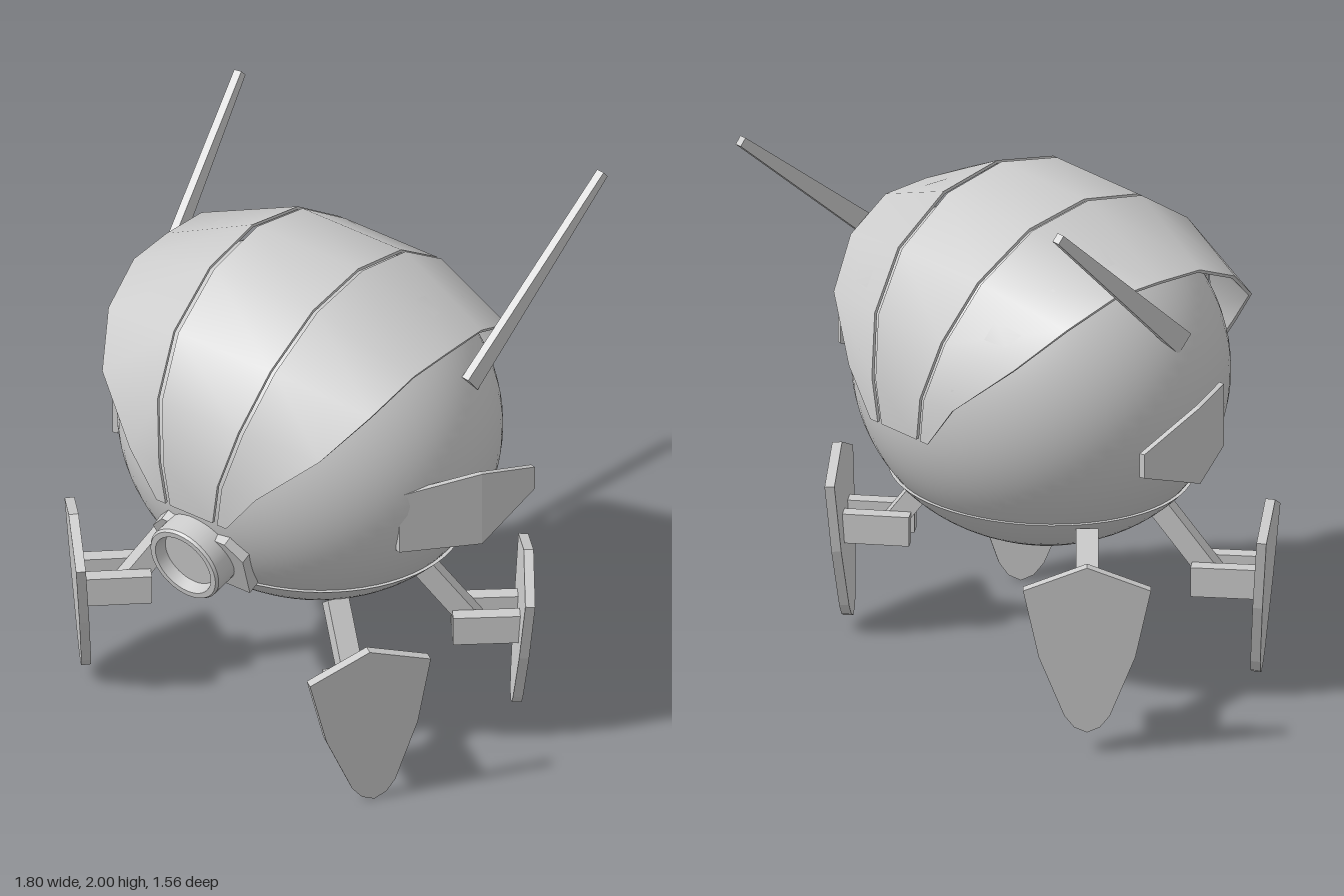
import * as THREE from 'three';
import { toCreasedNormals } from 'three/addons/utils/BufferGeometryUtils.js';

const material = new THREE.MeshStandardMaterial({ color: 0xcccccc, side: THREE.DoubleSide });
const V = (x, y, z) => new THREE.Vector3(x, y, z);

function add(parent, name, geometry) {
  const mesh = new THREE.Mesh(geometry, material);
  mesh.name = name;
  parent.add(mesh);
  return mesh;
}

// Closed solid through a row of four-cornered sections
function loft(sections, crease = 0.6) {
  const pos = [];
  const quad = (a, b, c, d) => [a, b, c, a, c, d].forEach(p => pos.push(p.x, p.y, p.z));
  for (let i = 0; i + 1 < sections.length; i++) {
    const s = sections[i], t = sections[i + 1];
    for (let k = 0; k < 4; k++) {
      const n = (k + 1) % 4;
      quad(s[k], s[n], t[n], t[k]);
    }
  }
  const first = sections[0], last = sections[sections.length - 1];
  quad(first[3], first[2], first[1], first[0]);
  quad(last[0], last[1], last[2], last[3]);
  const geometry = new THREE.BufferGeometry();
  geometry.setAttribute('position', new THREE.Float32BufferAttribute(pos, 3));
  return toCreasedNormals(geometry, crease);
}

// Box-like bar between two points, tapering in width
function bar(a, b, wide, thinDir, w0, w1, t) {
  const section = (p, w) => [[-1, -1], [-1, 1], [1, 1], [1, -1]].map(([i, j]) =>
    p.clone().addScaledVector(wide, i * w / 2).addScaledVector(thinDir, j * t / 2));
  return loft([section(a, w0), section(b, w1)], 0.3);
}

function flatShape(points, depth) {
  const shape = new THREE.Shape(points.map(p => new THREE.Vector2(...p)));
  return new THREE.ExtrudeGeometry(shape, { depth, bevelEnabled: false });
}

function createBody() {
  const body = new THREE.Group();
  body.name = 'body';
  body.position.set(0.03, 1.13, 0.06);
  body.scale.set(0.7, 0.64, 0.645);
  const cut = Math.acos(-0.625);
  add(body, 'hull', new THREE.SphereGeometry(1, 64, 40, 0, Math.PI * 2, 0, cut));
  add(body, 'hullRim', new THREE.LatheGeometry(
    [new THREE.Vector2(0.76, -0.62), new THREE.Vector2(0.805, -0.62)], 64));
  const lower = new THREE.SphereGeometry(1, 64, 16, 0, Math.PI * 2, cut, Math.PI - cut);
  add(body, 'lowerHull', lower.scale(1.03, 0.992, 1.03));
  add(body, 'bottomCap', new THREE.SphereGeometry(1, 48, 8, 0, Math.PI * 2, Math.PI - 0.41, 0.41));
  return body;
}

// Armour strips over the top: [angle from top, inner half width, outer half width, outer radius]
const STRIP = [
  [0, 0.225, 0.63, 0.485], [22, 0.22, 0.625, 0.515], [45, 0.205, 0.585, 0.55],
  [66, 0.17, 0.485, 0.605], [85, 0.12, 0.28, 0.66], [99, 0.095, 0.155, 0.673],
];

function createArmour() {
  const armour = new THREE.Group();
  armour.name = 'armour';
  armour.position.set(0.02, 1.152, 0.06);
  const rows = [...STRIP.slice(1).reverse().map(([a, ...r]) => [-a, ...r]), ...STRIP];
  const at = (x, radius, deg) => {
    const a = THREE.MathUtils.degToRad(deg);
    return V(x, radius * Math.cos(a), radius * Math.sin(a));
  };
  const R = 0.673, T = 0.012;
  add(armour, 'centreStrip', loft(rows.map(([a, w]) =>
    [at(-w, R, a), at(w, R, a), at(w, R - T, a), at(-w, R - T, a)])));
  for (const s of [1, -1]) {
    add(armour, s > 0 ? 'leftStrip' : 'rightStrip', loft(rows.map(([a, w, o, r]) => {
      const i = w + 0.02;
      return [at(s * i, R, a), at(s * o, r, a), at(s * (o - 0.005), r - T, a), at(s * i, R - T, a)];
    })));
  }
  return armour;
}

function createEye() {
  const eye = new THREE.Group();
  eye.name = 'eye';
  const half = [[0.17, -0.135], [0.2, 0.06], [0.14, 0.13]];
  const outline = [...half, ...half.map(([x, y]) => [-x, y]).reverse()];
  const mount = add(eye, 'eyeMount', flatShape(outline, 0.05));
  mount.position.set(0.015, 0.865, 0.61);
  mount.rotation.x = 0.42;
  // Lens barrel with a recessed lens
  const profile = [[0.15, -0.18], [0.15, -0.01], [0.143, 0], [0.122, 0], [0.112, -0.045], [0, -0.045]];
  const barrel = add(eye, 'eyeBarrel', toCreasedNormals(
    new THREE.LatheGeometry(profile.map(p => new THREE.Vector2(...p)), 40), 0.5));
  barrel.position.set(0.007, 0.845, 0.755);
  barrel.rotation.x = Math.PI / 2 + 0.2;
  return eye;
}

// Bent side plate
function createSidePlate(s) {
  const rows = [[0.64, 0.945, 1.18, 0.345], [0.81, 0.92, 1.21, 0.09], [0.83, 1.02, 1.11, -0.185]];
  const t = 0.02;
  return loft(rows.map(([x, lo, hi, z]) => [
    V(s * x + 0.012, lo, z), V(s * x + 0.012, hi, z),
    V(s * (x - t) + 0.012, hi, z - 0.005), V(s * (x - t) + 0.012, lo, z - 0.005)]), 0.2);
}

function createAntenna(base, tip) {
  const dir = tip.clone().sub(base).normalize();
  const wide = V(1, 0, 0).cross(dir).normalize();
  const thin = dir.clone().cross(wide).normalize();
  return bar(base, tip, wide, thin, 0.085, 0.035, 0.03);
}

// Leg with its origin at the top of the shield, facing outward along local z
function createLeg(name, x, y, z, nx, nz, roll) {
  const leg = new THREE.Group();
  leg.name = name;
  leg.position.set(x, y, z);
  leg.rotation.y = Math.atan2(nx, nz);
  const half = [[0.225, 0.21], [0.17, -0.05], [0.08, -0.28], [0.045, -0.325]];
  const outline = [[0, 0.3], ...half, [0, -0.345], ...half.map(([px, py]) => [-px, py]).reverse()];
  const geometry = flatShape(outline, 0.035);
  geometry.translate(0, 0, -0.018);
  const shield = add(leg, 'shield', geometry);
  shield.position.y = -0.3;
  shield.rotation.set(0.07, 0, roll);
  for (const s of [-1, 1]) {
    const rod = add(leg, 'shieldBar', new THREE.BoxGeometry(0.055, 0.11, 0.24));
    rod.position.set(s * 0.065, -0.285, -0.13);
  }
  const from = V(0, -0.31, -0.16), to = V(0, -0.03, -0.37);
  const dir = to.clone().sub(from).normalize();
  add(leg, 'strut', bar(from, to, V(1, 0, 0), V(1, 0, 0).cross(dir), 0.078, 0.078, 0.075));
  return leg;
}

export function createModel() {
  const model = new THREE.Group();
  model.name = 'walkerDrone';
  model.add(createBody(), createArmour(), createEye());
  add(model, 'leftSidePlate', createSidePlate(1));
  add(model, 'rightSidePlate', createSidePlate(-1));
  add(model, 'leftAntenna', createAntenna(V(0.63, 1.425, -0.085), V(0.69, 1.985, -0.765)));
  add(model, 'rightAntenna', createAntenna(V(-0.605, 1.375, 0.17), V(-0.72, 1.985, -0.5)));
  model.add(
    createLeg('frontLeftLeg', 0.655, 0.643, 0.515, 0.84, 0.54, 0.05),
    createLeg('backLeftLeg', 0.725, 0.69, -0.265, 0.75, -0.66, 0.05),
    createLeg('backRightLeg', -0.73, 0.72, -0.375, -0.76, -0.65, 0),
    createLeg('frontRightLeg', -0.645, 0.695, 0.515, -0.73, 0.68, -0.06),
  );
  return model;
}
